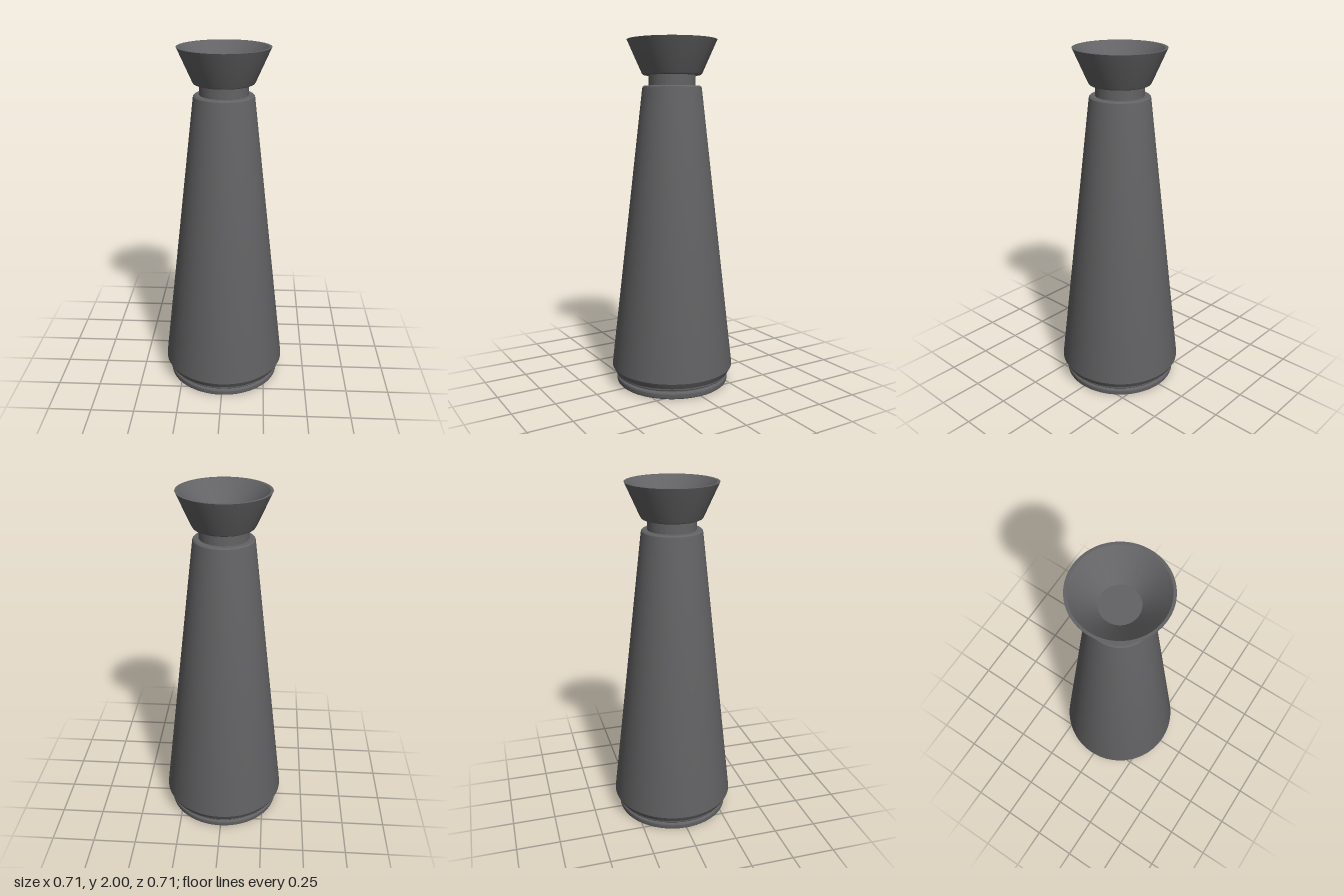
import * as THREE from 'three';
import { toCreasedNormals } from 'three/addons/utils/BufferGeometryUtils.js';

const darkGrey = new THREE.MeshStandardMaterial({ color: 0x636365 });
darkGrey.name = 'darkGrey';

// Turned part from a [radius, height] profile, listed counter-clockwise from the bottom centre
function turned(name, profile) {
  const points = profile.map(([r, y]) => new THREE.Vector2(r, y));
  const geometry = toCreasedNormals(new THREE.LatheGeometry(points, 96), 0.4);
  const mesh = new THREE.Mesh(geometry, darkGrey);
  mesh.name = name;
  return mesh;
}

export function createModel() {
  const group = new THREE.Group();
  group.name = 'taperedVase';

  // Foot disc with softened edges
  group.add(turned('foot', [
    [0, 0], [0.322, 0], [0.328, 0.005], [0.33, 0.012],
    [0.33, 0.03], [0.327, 0.037], [0.32, 0.04], [0, 0.04],
  ]));

  // Recessed groove between foot and body
  group.add(turned('footGroove', [[0.312, 0.038], [0.312, 0.062]]));

  // Thin ring above the groove
  group.add(turned('footRing', [
    [0.3, 0.052], [0.332, 0.052], [0.335, 0.056], [0.335, 0.068], [0.3, 0.068],
  ]));

  // Tall tapering body
  group.add(turned('body', [
    [0.3, 0.066], [0.338, 0.066], [0.344, 0.076], [0.357, 0.1], [0.357, 0.11],
    [0.171, 1.725], [0.169, 1.736], [0.162, 1.743], [0.12, 1.743],
  ]));

  // Narrow neck
  group.add(turned('neck', [[0.135, 1.74], [0.135, 1.806]]));

  // Flared cup with a conical hollow
  group.add(turned('cup', [
    [0, 1.803], [0.16, 1.803], [0.168, 1.807], [0.174, 1.817], [0.256, 2],
    [0.241, 2], [0.105, 1.86], [0, 1.86],
  ]));

  return group;
}
